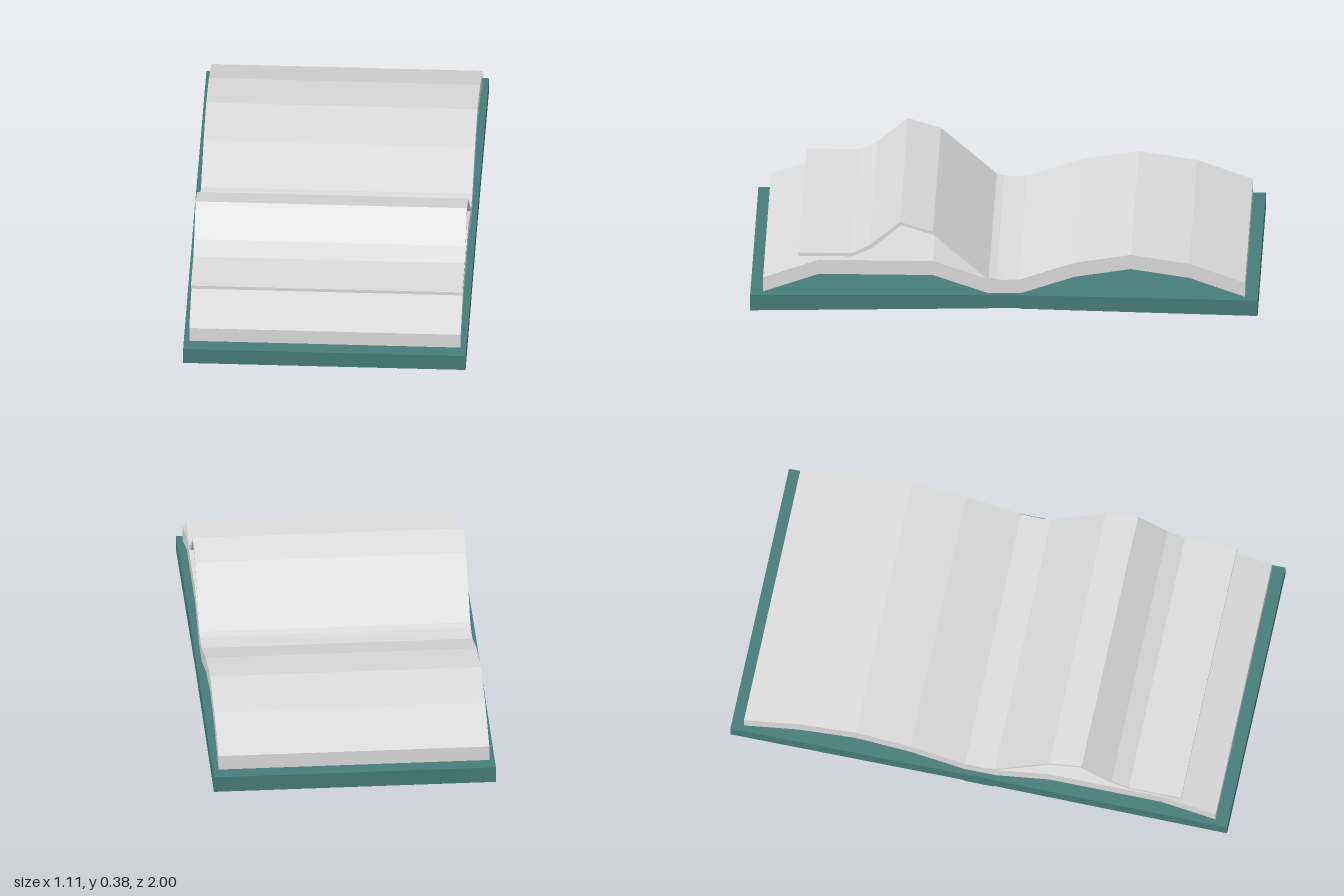
import * as THREE from 'three';

const PAGE_W = 1.07, COVER_W = 1.114;

// Extrude a closed [z, y] outline across x, centred on x = 0
function extrudeAcross(points, width) {
  const shape = new THREE.Shape(points.map(([z, y]) => new THREE.Vector2(z, y)));
  const g = new THREE.ExtrudeGeometry(shape, { depth: width, bevelEnabled: false });
  g.translate(0, 0, -width / 2);
  g.rotateY(-Math.PI / 2);
  return g;
}

// Outline made of a top line and the same line lowered by a thickness
function strip(line, thickness) {
  return [...line, ...line.map(([z, y]) => [z, y - thickness]).reverse()];
}

// Lower the underside on the -x side, strongest towards the hinge
function sag(geometry, amount) {
  const p = geometry.attributes.position;
  for (let i = 0; i < p.count; i++) {
    if (p.getY(i) > 0.005 && p.getY(i) < 0.04 && p.getX(i) < 0) p.setY(i, p.getY(i) - amount);
  }
  geometry.computeVertexNormals();
  return geometry;
}

export function createModel() {
  const book = new THREE.Group();
  book.name = 'openBook';
  const paper = new THREE.MeshStandardMaterial({ color: 0xdcdcdc });
  paper.name = 'paper';
  const cloth = new THREE.MeshStandardMaterial({ color: 0x467c7a });
  cloth.name = 'tealCover';

  function add(name, geometry, material) {
    const mesh = new THREE.Mesh(geometry, material);
    mesh.name = name;
    book.add(mesh);
  }

  // Cover boards, rising slightly to the hinge
  for (const [name, s] of [['frontBoard', 1], ['backBoard', -1]]) {
    const outline = [[s, 0], [s, 0.065], [s * 0.06, 0.077], [s * 0.06, 0.02]];
    add(name, sag(extrudeAcross(outline, COVER_W), 0.01), cloth);
  }

  // Spine between the boards
  const spine = [[-0.06, 0.022], [0.06, 0.022], [0.06, 0.077], [-0.06, 0.077]];
  add('spine', sag(extrudeAcross(spine, COVER_W), 0.02), cloth);

  // Arched page blocks
  add('frontPages', extrudeAcross(strip(
    [[0.95, 0.132], [0.73, 0.21], [0.28, 0.21], [0.06, 0.135], [0, 0.133]], 0.06), PAGE_W), paper);
  add('backPages', extrudeAcross(strip(
    [[-0.95, 0.132], [-0.73, 0.21], [-0.5, 0.245], [-0.28, 0.21], [-0.06, 0.135], [0, 0.133]], 0.06), PAGE_W), paper);

  // Undersides of the pages, flaring out to the hinge corners
  for (const [name, s] of [['frontHingePaper', 1], ['backHingePaper', -1]]) {
    const g = new THREE.BufferGeometry();
    const a = PAGE_W / 2, b = COVER_W / 2;
    g.setAttribute('position', new THREE.Float32BufferAttribute([
      -a, 0.149, s * 0.28, a, 0.149, s * 0.28, b, 0.075, s * 0.06, -b, 0.075, s * 0.06,
    ], 3));
    g.setIndex(s > 0 ? [0, 2, 1, 0, 3, 2] : [0, 1, 2, 0, 2, 3]);
    g.computeVertexNormals();
    add(name, g, paper);
  }

  // Loose leaf turning over the front pages
  const leaf = [
    [0.81, 0.24], [0.6, 0.24], [0.53, 0.275], [0.41, 0.375], [0.28, 0.335], [0.06, 0.143], [0.03, 0.135],
    [0.06, 0.13], [0.28, 0.322], [0.405, 0.361], [0.52, 0.262], [0.597, 0.226], [0.81, 0.226],
  ];
  add('turningLeaf', extrudeAcross(leaf, PAGE_W), paper);

  return book;
}
